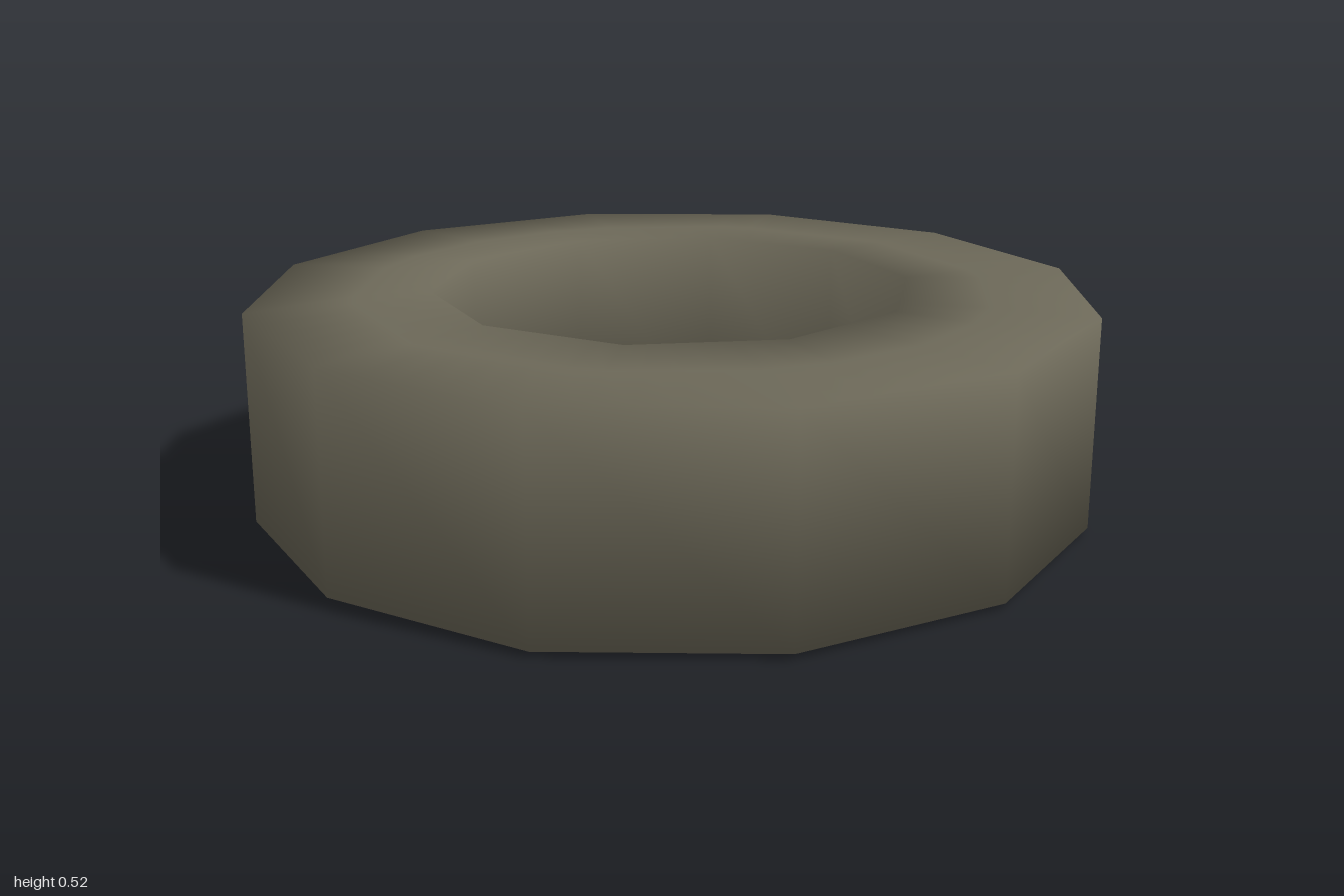
import * as THREE from 'three';

const OUTER = { r: 1, sides: 12 };
const INNER = { r: 0.57, sides: 10 };

// Distance from the centre to the edge of a regular polygon at a given angle
function polygonRadius({ r, sides }, angle) {
  const step = (2 * Math.PI) / sides;
  const local = angle - Math.floor(angle / step + 1e-6) * step;
  return (r * Math.cos(step / 2)) / Math.cos(local - step / 2);
}

// Sweep a profile of [blend inner to outer, y, normal tilt in degrees] around the ring
function sweep(profile, segments) {
  const positions = [], normals = [], indices = [];
  const row = segments + 1;
  profile.forEach(([t, y, tilt], j) => {
    const a = THREE.MathUtils.degToRad(tilt);
    for (let i = 0; i <= segments; i++) {
      const angle = (i / segments) * 2 * Math.PI;
      const c = Math.cos(angle), s = Math.sin(angle);
      const r = THREE.MathUtils.lerp(polygonRadius(INNER, angle), polygonRadius(OUTER, angle), t);
      positions.push(r * c, y, r * s);
      normals.push(Math.cos(a) * c, Math.sin(a), Math.cos(a) * s);
      if (j > 0 && i < segments) {
        const p = (j - 1) * row + i, q = p + row;
        indices.push(p, p + 1, q, p + 1, q + 1, q);
      }
    }
  });
  const geometry = new THREE.BufferGeometry();
  geometry.setAttribute('position', new THREE.Float32BufferAttribute(positions, 3));
  geometry.setAttribute('normal', new THREE.Float32BufferAttribute(normals, 3));
  geometry.setIndex(indices);
  return geometry;
}

export function createModel() {
  const group = new THREE.Group();
  group.name = 'ring';
  const rubber = new THREE.MeshStandardMaterial({ color: 0x6c6858 });
  rubber.name = 'olive grey rubber';

  const add = (name, profile, segments) => {
    const mesh = new THREE.Mesh(sweep(profile, segments), rubber);
    mesh.name = name;
    group.add(mesh);
  };

  // Corners of the cross-section: the inner rims stand slightly proud of the outer rims
  const innerTop = [0, 0.525, 130], outerTop = [1, 0.512, 42];
  const innerBottom = [0, 0, -130], outerBottom = [1, 0.013, -42];

  // Nearly flat top and bottom, joining the twelve-sided rim to the ten-sided hole
  add('topFace', [innerTop, [0.45, 0.519, 90], outerTop], 60);
  add('bottomFace', [outerBottom, [0.45, 0.006, -90], innerBottom], 60);

  // Upright walls, shaded smoothly into the top and bottom
  add('outerWall', [outerTop, outerBottom], OUTER.sides);
  add('innerWall', [[0, 0, 230], innerTop], INNER.sides);

  return group;
}
